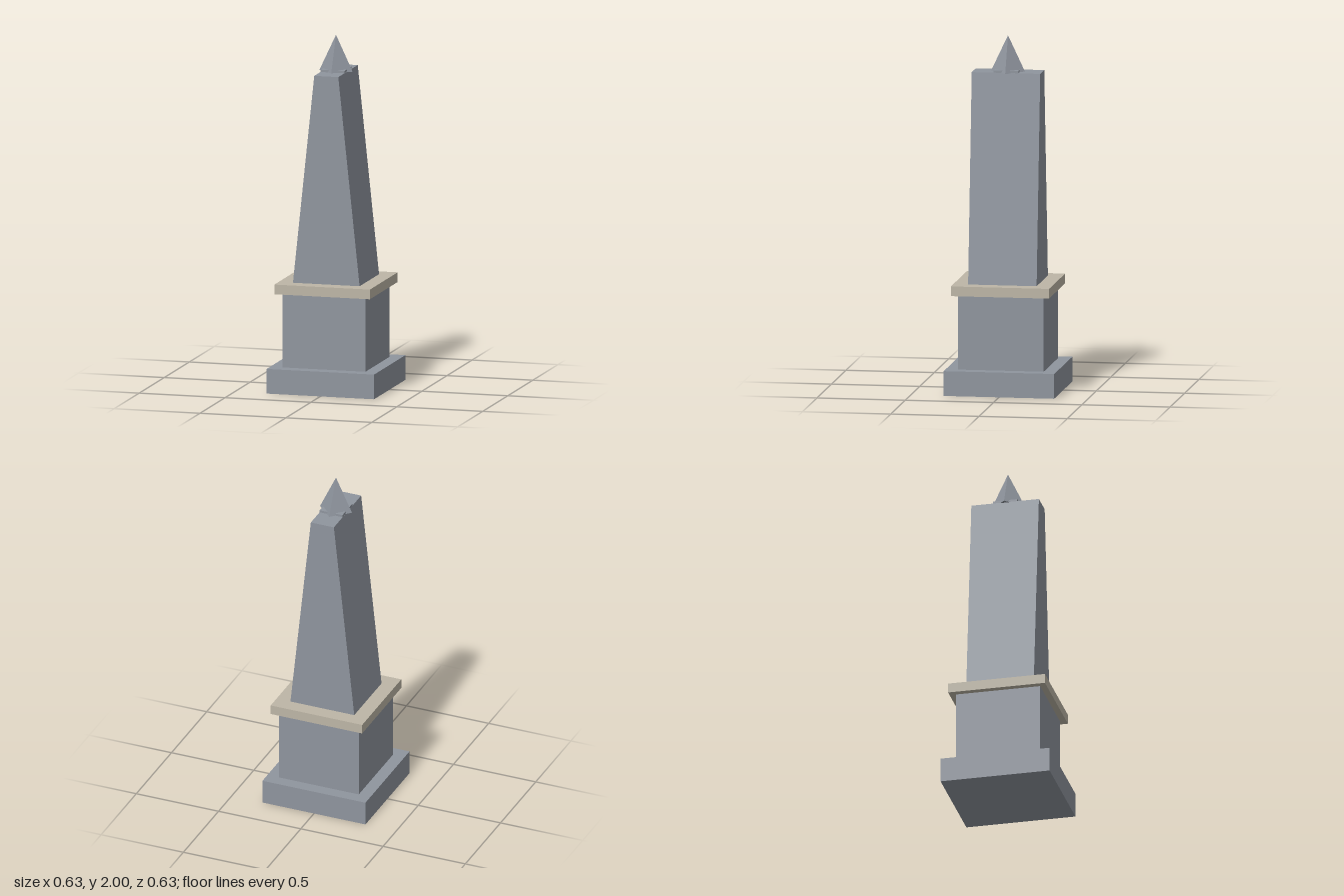
import * as THREE from 'three';

export function createModel() {
  const group = new THREE.Group();
  group.name = 'obelisk';

  const stone = new THREE.MeshStandardMaterial({ color: 0x8f959e, flatShading: true });
  stone.name = 'grey stone';
  const trim = new THREE.MeshStandardMaterial({ color: 0xbdb6a6, flatShading: true });
  trim.name = 'pale stone';

  const add = (name, geometry, material, y) => {
    const mesh = new THREE.Mesh(geometry, material);
    mesh.name = name;
    mesh.position.y = y;
    group.add(mesh);
  };

  // Square block spanning heights y0 to y1
  const block = (name, width, y0, y1, material) =>
    add(name, new THREE.BoxGeometry(width, y1 - y0, width), material, (y0 + y1) / 2);

  // Stepped pedestal
  block('base', 0.626, 0, 0.14, stone);
  block('pedestal', 0.484, 0.14, 0.56, stone);
  block('collar', 0.556, 0.56, 0.615, trim);

  // Shaft tapering from side to side only
  const profile = new THREE.Shape([
    new THREE.Vector2(-0.194, 0), new THREE.Vector2(0.194, 0),
    new THREE.Vector2(0.07, 1.182), new THREE.Vector2(-0.07, 1.182),
  ]);
  const shaft = new THREE.ExtrudeGeometry(profile, { depth: 0.388, bevelEnabled: false });
  shaft.translate(0, 0, -0.194);
  add('shaft', shaft, stone, 0.615);

  // Thin seat and the diamond-set pyramid point
  block('capSeat', 0.139, 1.79, 1.81, stone);
  add('capstone', new THREE.ConeGeometry(0.097, 0.205, 4), stone, 1.8975);

  return group;
}
